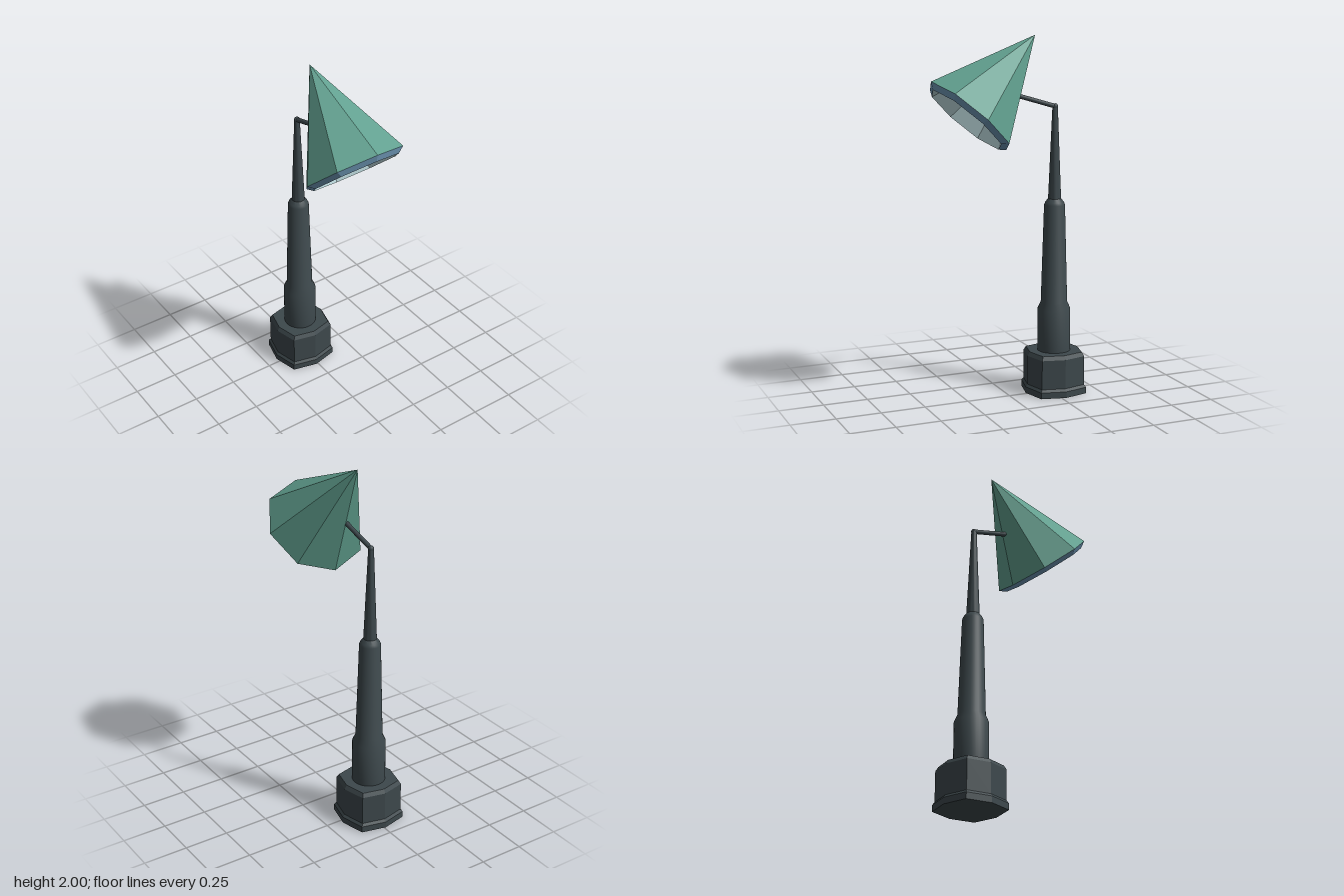
import * as THREE from 'three';
import { toCreasedNormals } from 'three/addons/utils/BufferGeometryUtils.js';

const POLE_X = -0.01, POLE_Z = -0.275;

function material(name, color, extra = {}) {
  const m = new THREE.MeshStandardMaterial({ color, ...extra });
  m.name = name;
  return m;
}

// Turned solid from [radius, height] pairs, listed bottom to top.
function lathe(points, sides) {
  return new THREE.LatheGeometry(points.map(([r, y]) => new THREE.Vector2(r, y)), sides);
}

function faceted(geometry) {
  const g = geometry.toNonIndexed();
  g.computeVertexNormals();
  return g;
}

export function createModel() {
  const iron = material('dark iron', 0x3d484c);
  const green = material('green shade', 0x62a190);
  const blue = material('blue trim', 0x7099b8);
  const pale = material('pale lining', 0xb8d4d8, { side: THREE.DoubleSide });
  const grey = material('grey bulb', 0xa3adb0);

  const model = new THREE.Group();
  model.name = 'lamp';
  const add = (parent, name, geometry, mat) => {
    const mesh = new THREE.Mesh(geometry, mat);
    mesh.name = name;
    parent.add(mesh);
    return mesh;
  };

  // Base: eight-sided plinth, with its diagonal corners pushed out a little
  const baseGeo = lathe([[0, 0], [0.171, 0], [0.171, 0.035], [0.16, 0.05],
    [0.16, 0.215], [0.147, 0.237], [0, 0.237]], 8);
  const p = baseGeo.attributes.position;
  for (let i = 0; i < p.count; i++) {
    const x = p.getX(i), z = p.getZ(i);
    if (Math.abs(Math.abs(x) - Math.abs(z)) < 1e-4) p.setXYZ(i, x * 1.14, p.getY(i), z * 1.14);
  }
  add(model, 'base', faceted(baseGeo), iron).position.set(POLE_X, 0, POLE_Z);

  // Pole: three tapering round sections
  const poleGeo = toCreasedNormals(lathe([[0.092, 0.23], [0.092, 0.475], [0.074, 0.515],
    [0.058, 1.065], [0.052, 1.08], [0.036, 1.1], [0.015, 1.605], [0, 1.61]], 32), 0.5);
  add(model, 'pole', poleGeo, iron).position.set(POLE_X, 0, POLE_Z);

  // Joint and arm reaching forward into the shade
  const joint = new THREE.Vector3(POLE_X, 1.61, POLE_Z);
  const socket = new THREE.Vector3(POLE_X, 1.715, 0.08);
  add(model, 'joint', new THREE.SphereGeometry(0.016, 16, 12), iron).position.copy(joint);
  const arm = add(model, 'arm',
    new THREE.CylinderGeometry(0.0125, 0.0125, joint.distanceTo(socket), 16), iron);
  arm.position.copy(joint).lerp(socket, 0.5);
  arm.quaternion.setFromUnitVectors(new THREE.Vector3(0, 1, 0),
    socket.clone().sub(joint).normalize());

  // Shade: tilted eight-sided cone, origin at the centre of its rim
  const shade = new THREE.Group();
  shade.name = 'shade';
  shade.position.set(-0.001, 1.577, 0.233);
  shade.rotation.set(-0.74, -0.036, 0.013);
  model.add(shade);

  const R = 0.283, H = 0.572, LIP_R = 0.247, LIP = 0.026;
  add(shade, 'shadeCone', faceted(new THREE.ConeGeometry(R, H, 8, 1, true)), green)
    .position.y = H / 2;
  add(shade, 'shadeRim', faceted(new THREE.CylinderGeometry(R, LIP_R, LIP, 8, 1, true)), blue)
    .position.y = -LIP / 2;
  add(shade, 'shadeLining', faceted(new THREE.ConeGeometry(LIP_R, 0.54, 8, 1, true)), pale)
    .position.y = 0.27 - LIP;

  // Bulb
  add(shade, 'bulb', new THREE.SphereGeometry(0.06, 24, 16), grey).position.y = 0.2;

  return model;
}
